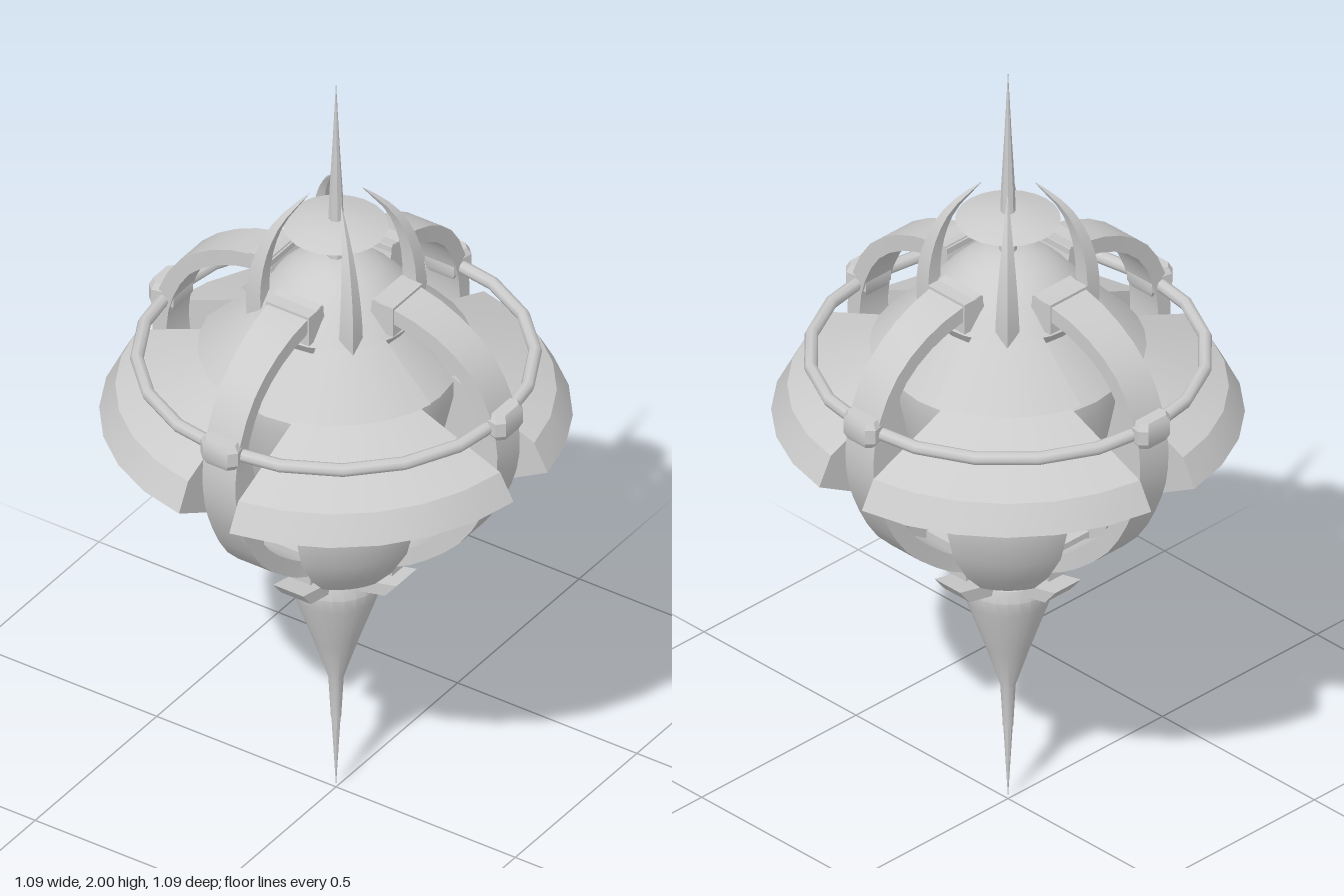
import * as THREE from 'three';
import { toCreasedNormals } from 'three/addons/utils/BufferGeometryUtils.js';

const V2 = (x, y) => new THREE.Vector2(x, y);

// Skin closed cross-sections (outline counter-clockwise about the sweep) and cap both ends
function loft(rings, outline, crease = 0.5) {
  const n = outline.length, index = [];
  for (let j = 0; j < rings.length - 1; j++) {
    for (let i = 0; i < n; i++) {
      const k = (i + 1) % n;
      const a = j * n + i, b = j * n + k, c = a + n, d = b + n;
      index.push(a, b, c, b, d, c);
    }
  }
  const last = (rings.length - 1) * n;
  for (const [a, b, c] of THREE.ShapeUtils.triangulateShape(outline, [])) {
    index.push(c, b, a, last + a, last + b, last + c);
  }
  const geo = new THREE.BufferGeometry();
  geo.setAttribute('position', new THREE.Float32BufferAttribute(rings.flat(2), 3));
  geo.setIndex(index);
  return toCreasedNormals(geo, crease);
}

// Quarter of a turned profile, trimmed parallel to the axes to leave straight gaps
function quadrant(profile, gap, steps = 6) {
  const rings = [];
  for (let j = 0; j <= steps; j++) {
    rings.push(profile.map((p) => {
      const trim = Math.asin(gap / p.x);
      const a = trim + (Math.PI / 2 - 2 * trim) * j / steps;
      return [p.x * Math.cos(a), p.y, p.x * Math.sin(a)];
    }));
  }
  return loft(rings, profile);
}

// Sweep a section along a curve in the x-y plane; size(t) gives [half depth, half width]
function sweep(path, steps, section, size) {
  const curve = new THREE.SplineCurve(path);
  const rings = [];
  for (let j = 0; j <= steps; j++) {
    const t = j / steps, p = curve.getPoint(t), d = curve.getTangent(t);
    const [h, w] = size(t);
    rings.push(section.map((s) => [p.x - d.y * s.x * h, p.y + d.x * s.x * h, s.y * w]));
  }
  return loft(rings, section);
}

const turned = (points, sides = 24) =>
  toCreasedNormals(new THREE.LatheGeometry(points.map(([r, y]) => V2(r, y)), sides), 0.5);

export function createModel() {
  const model = new THREE.Group();
  const material = new THREE.MeshStandardMaterial({ color: 0xcccccc });
  const add = (name, geometry, x = 0, y = 0, z = 0, parent = model) => {
    const mesh = new THREE.Mesh(geometry, material);
    mesh.name = name;
    mesh.position.set(x, y, z);
    parent.add(mesh);
    return mesh;
  };
  // Four copies around the vertical axis
  const four = (name, geometry, turn = 0, x = 0, y = 0) => {
    for (let i = 0; i < 4; i++) {
      const arm = new THREE.Group();
      arm.name = name + 'Arm';
      arm.rotation.y = turn + i * Math.PI / 2;
      add(name, geometry, x, y, 0, arm);
      model.add(arm);
    }
  };

  // Inner core with the shallow dome on top
  add('core', turned([
    [0, 0.6], [0.08, 0.61], [0.085, 0.68], [0.15, 0.78], [0.2, 0.9], [0.24, 0.98],
    [0.29, 1.18], [0.29, 1.22], [0.18, 1.35], [0.2, 1.38], [0.16, 1.43], [0.1, 1.485], [0.05, 1.505], [0, 1.51],
  ]));

  // Shell quarters: upper hat, wide skirt and lower bowl
  four('hatShell', quadrant([
    V2(0.15, 1.38), V2(0.15, 1.2), V2(0.28, 1.2), V2(0.285, 1.235), V2(0.32, 1.25), V2(0.2, 1.38),
  ], 0.07));
  four('skirtShell', quadrant([
    V2(0.2, 1.2), V2(0.2, 0.97), V2(0.28, 0.915), V2(0.547, 1.066), V2(0.51, 1.135), V2(0.28, 1.232),
  ], 0.07));
  four('bowlShell', quadrant([
    V2(0.13, 0.95), V2(0.13, 0.69), V2(0.172, 0.68), V2(0.215, 0.73), V2(0.255, 0.8), V2(0.285, 0.92), V2(0.28, 0.95),
  ], 0.07));

  // Curved cage beams, wider at both ends, with end blocks
  const square = [V2(-1, -1), V2(1, -1), V2(1, 1), V2(-1, 1)];
  const beamPath = [
    [0.14, 1.455], [0.28, 1.42], [0.39, 1.345], [0.45, 1.23], [0.46, 1.11],
    [0.43, 1.0], [0.36, 0.88], [0.25, 0.785], [0.17, 0.745],
  ].map(([r, y]) => V2(r, y));
  four('cageBeam', sweep(beamPath, 20, square,
    (t) => [0.02, 0.046 + 0.014 * Math.abs(2 * t - 1) ** 3]));
  four('beamTopBlock', new THREE.BoxGeometry(0.06, 0.08, 0.12), 0, 0.17, 1.43);
  four('beamBottomBlock', new THREE.BoxGeometry(0.06, 0.08, 0.13), 0, 0.17, 0.755);

  // Horizontal hoop with a faceted clamp on each beam
  const hoop = new THREE.TorusGeometry(0.46, 0.016, 8, 20);
  hoop.rotateX(Math.PI / 2);
  add('hoop', toCreasedNormals(hoop, 0.9), 0, 1.225, 0);
  const clampOutline = [V2(-1, -0.7), V2(0.5, -0.9), V2(1, -0.6), V2(1, 0.6), V2(0.5, 0.9), V2(-1, 0.7)];
  const clampRings = [[-0.034, 0.8], [-0.018, 1], [0.018, 1], [0.034, 0.8]].map(([y, s]) =>
    clampOutline.map((p) => [0.462 + p.x * 0.036 * s, 1.23 + y, -p.y * 0.058 * s]));
  four('hoopClamp', loft(clampRings, clampOutline));

  // Four claws leaning in over the dome
  const diamond = [V2(-1, 0), V2(0, -1), V2(1, 0), V2(0, 1)];
  const clawPath = [[0.18, 1.36], [0.183, 1.45], [0.167, 1.54], [0.13, 1.62], [0.063, 1.69]].map(([r, y]) => V2(r, y));
  four('claw', sweep(clawPath, 10, diamond, (t) => {
    const s = 1 - 0.97 * t ** 1.6;
    return [0.03 * s, 0.029 * s];
  }), Math.PI / 4);

  // Upper needle with its lens-shaped collar
  add('upperNeedle', turned([[0.022, 1.48], [0.018, 1.6], [0.016, 1.68], [0.008, 1.83], [0, 2]], 8));
  add('needleCollar', turned([[0, 1.57], [0.07, 1.575], [0.122, 1.592], [0.07, 1.607], [0, 1.615]]));

  // Lower cone, needle and small upturned hooks
  add('lowerCone', turned([
    [0.012, 0.2], [0.018, 0.315], [0.055, 0.43], [0.1, 0.56], [0.108, 0.6], [0.1, 0.63], [0, 0.65],
  ]));
  add('lowerNeedle', turned([[0, 0], [0.006, 0.11], [0.012, 0.22], [0.018, 0.32]], 8));
  const hookOutline = [V2(0.07, 0.675), V2(0.07, 0.612), V2(0.165, 0.632), V2(0.197, 0.672), V2(0.11, 0.652)];
  const hookRings = [-0.042, 0.042].map((z) => hookOutline.map((p) => [p.x, p.y, z]));
  four('lowerHook', loft(hookRings, hookOutline));

  return model;
}
